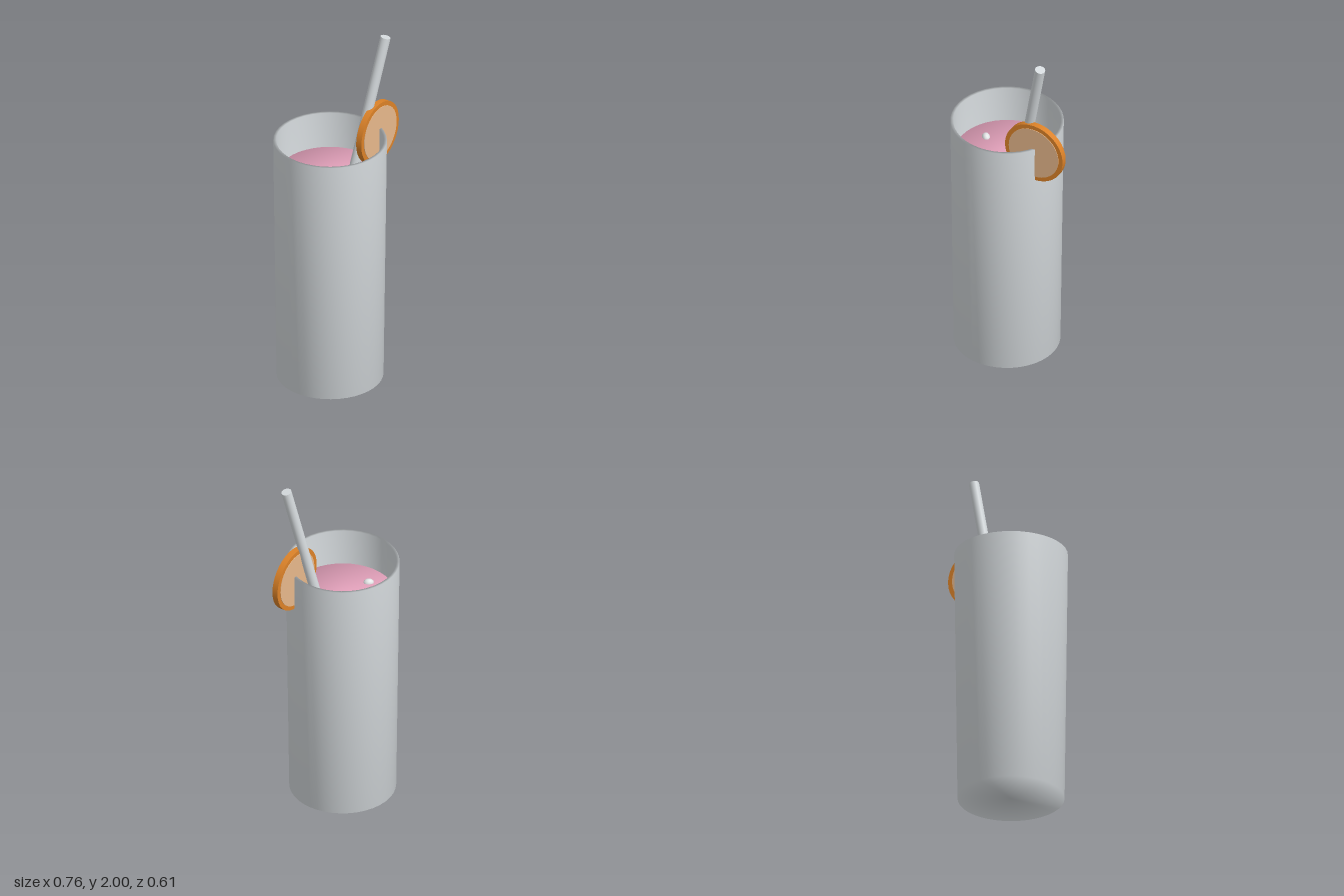
import * as THREE from 'three';

const paint = (name, color) => {
  const m = new THREE.MeshStandardMaterial({ color });
  m.name = name;
  return m;
};

export function createModel() {
  const glassGrey = paint('glass grey', 0xd6dbde);
  const drinkPink = paint('drink pink', 0xf0abc6);
  const peelOrange = paint('peel orange', 0xdc8228);
  const fleshTan = paint('flesh tan', 0xf0bf91);
  const iceWhite = paint('ice white', 0xf4f6f7);

  const model = new THREE.Group();
  model.name = 'drink';
  const add = (name, geometry, material, parent = model) => {
    const mesh = new THREE.Mesh(geometry, material);
    mesh.name = name;
    parent.add(mesh);
    return mesh;
  };
  const lathe = (points) =>
    new THREE.LatheGeometry(points.map(([x, y]) => new THREE.Vector2(x, y)), 40);

  // Tumbler and its contents share one off-centre axis
  const axisX = -0.075;
  add('glass', lathe([
    [0, 0], [0.288, 0], [0.306, 1.445], [0.29, 1.445], [0.274, 0.06], [0, 0.06],
  ]), glassGrey).position.x = axisX;

  add('liquid', lathe([
    [0, 0.07], [0.268, 0.07], [0.279, 1.04], [0.28, 1.24], [0, 1.24],
  ]), drinkPink).position.x = axisX;

  // Tip of a floating lump of ice
  const iceGeometry = new THREE.IcosahedronGeometry(0.03, 1);
  iceGeometry.scale(1, 0.8, 0.75);
  const ice = add('ice', iceGeometry, iceWhite);
  ice.position.set(-0.244, 1.237, 0.028);
  ice.rotation.y = -0.4;

  // Leaning straw, reaching down to the floor of the glass
  const top = new THREE.Vector3(0.262, 1.993, 0);
  const foot = new THREE.Vector3(-0.215, 0.09, 0);
  const lean = new THREE.Vector3().subVectors(top, foot);
  const straw = add('straw', new THREE.CylinderGeometry(0.028, 0.028, lean.length(), 20), glassGrey);
  straw.position.addVectors(top, foot).multiplyScalar(0.5);
  straw.quaternion.setFromUnitVectors(new THREE.Vector3(0, 1, 0), lean.normalize());

  // Fruit slice straddling the rim: peel disc with a thin flesh plate on each face
  const slice = new THREE.Group();
  slice.name = 'fruitSlice';
  slice.position.set(0.213, 1.418, 0);
  slice.rotation.y = THREE.MathUtils.degToRad(28);
  model.add(slice);
  const disc = (radius, depth) =>
    new THREE.CylinderGeometry(radius, radius, depth, 36).rotateX(Math.PI / 2);
  add('peel', disc(0.179, 0.034), peelOrange, slice);
  for (const side of [1, -1]) {
    add('flesh', disc(0.154, 0.004), fleshTan, slice).position.z = side * 0.018;
  }

  return model;
}
